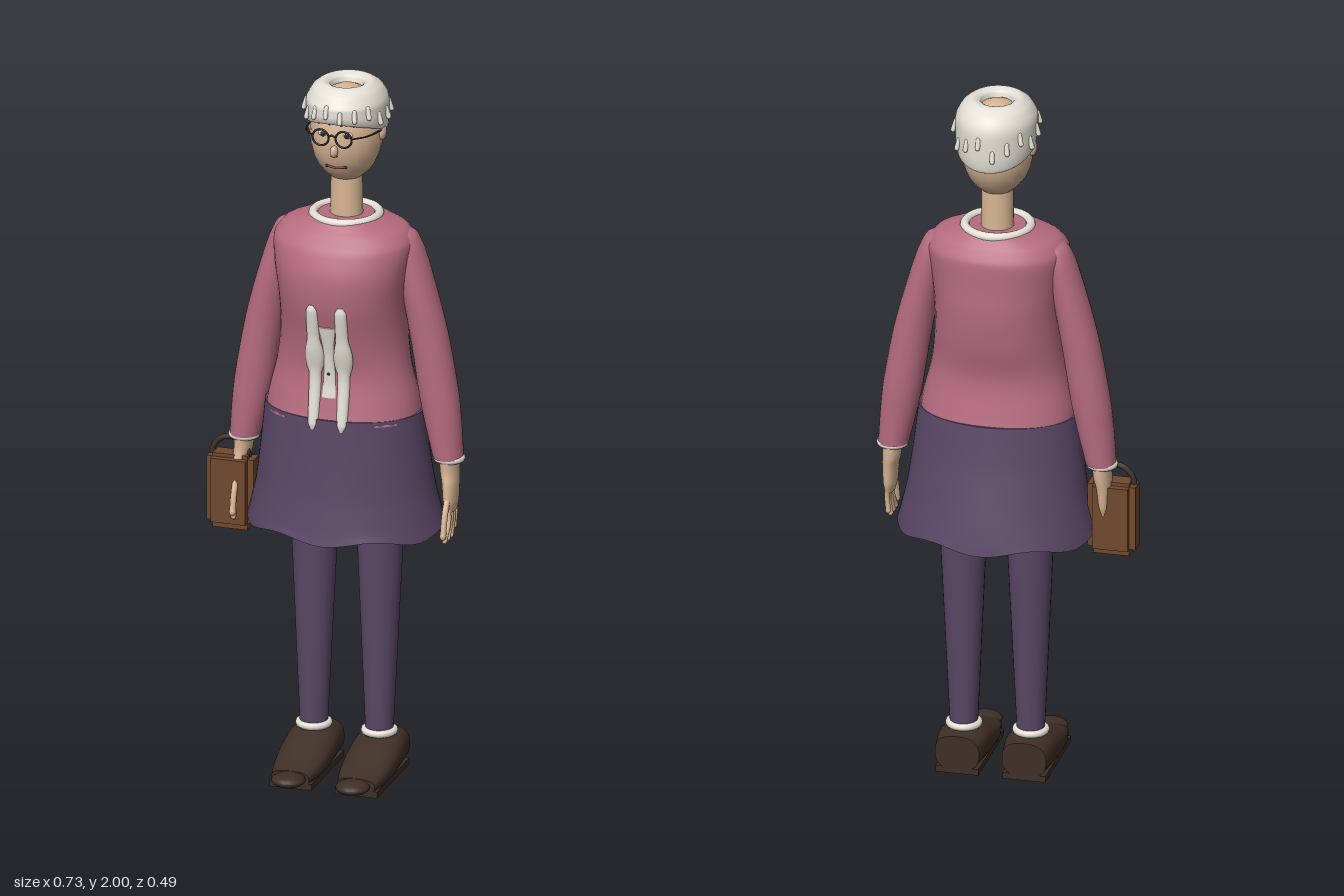
import * as THREE from 'three';

const mat = (name, color, side = THREE.FrontSide) => {
  const m = new THREE.MeshStandardMaterial({ color, side });
  m.name = name;
  return m;
};

// Smooth body through horizontal rings [x, y, z, radiusX, radiusZ], listed from bottom to top
function loft(rings, { seg = 40, steps = 5, power = 2, capBottom = true, capTop = true, warp } = {}) {
  const centres = new THREE.CatmullRomCurve3(rings.map(r => new THREE.Vector3(r[0], r[1], r[2])));
  const radii = new THREE.CatmullRomCurve3(rings.map(r => new THREE.Vector3(r[3], r[4], 0)));
  const n = (rings.length - 1) * steps, pos = [], idx = [];
  const bend = s => Math.sign(s) * Math.abs(s) ** (2 / power);
  for (let i = 0; i <= n; i++) {
    const c = centres.getPoint(i / n), r = radii.getPoint(i / n);
    for (let j = 0; j < seg; j++) {
      const a = j / seg * Math.PI * 2;
      const v = new THREE.Vector3(c.x + bend(Math.sin(a)) * r.x, c.y, c.z + bend(Math.cos(a)) * r.y);
      if (warp) warp(v, a, i / n);
      pos.push(v.x, v.y, v.z);
      if (i < n) {
        const p = i * seg + j, q = i * seg + (j + 1) % seg;
        idx.push(p, q, p + seg, q, q + seg, p + seg);
      }
    }
  }
  const cap = (row, ring, flip) => {
    const start = pos.length / 3;
    for (let j = 0; j < seg; j++) pos.push(...pos.slice((row * seg + j) * 3, (row * seg + j) * 3 + 3));
    pos.push(ring[0], ring[1], ring[2]);
    for (let j = 0; j < seg; j++) {
      const p = start + j, q = start + (j + 1) % seg;
      idx.push(...(flip ? [q, p] : [p, q]), start + seg);
    }
  };
  if (capBottom) cap(0, rings[0], true);
  if (capTop) cap(n, rings.at(-1), false);
  const g = new THREE.BufferGeometry();
  g.setAttribute('position', new THREE.Float32BufferAttribute(pos, 3));
  g.setIndex(idx);
  g.computeVertexNormals();
  return g;
}

const tube = (points, r, n = 16) =>
  new THREE.TubeGeometry(new THREE.CatmullRomCurve3(points.map(p => new THREE.Vector3(...p))), n, r, 8);

export function createModel() {
  const wool = mat('rose wool', 0xb66c80);
  const plum = mat('plum cloth', 0x5a4766, THREE.DoubleSide);
  const skin = mat('skin', 0xd8b594);
  const white = mat('ivory', 0xe4e0d6, THREE.DoubleSide);
  const shoeMat = mat('dark brown leather', 0x3e2f26);
  const bagMat = mat('brown leather', 0x70492e);
  const dark = mat('charcoal', 0x2c2829, THREE.DoubleSide);
  const lip = mat('muted red', 0x8a4a48);

  const model = new THREE.Group();
  model.name = 'woman';
  const body = new THREE.Group();
  body.name = 'body';
  body.position.x = 0.024;
  model.add(body);
  const add = (name, geo, material, x = 0, y = 0, z = 0, parent = body) => {
    const m = new THREE.Mesh(geo, material);
    m.name = name;
    m.position.set(x, y, z);
    parent.add(m);
    return m;
  };
  const ball = (name, material, x, y, z, sx, sy, sz, parent = body) => {
    const m = add(name, new THREE.SphereGeometry(1, 20, 14), material, x, y, z, parent);
    m.scale.set(sx, sy, sz);
    return m;
  };

  // Sweater and skirt
  add('sweater', loft([
    [0, 1.055, -0.01, 0.217, 0.154], [0, 1.1, -0.01, 0.21, 0.144], [0, 1.2, -0.01, 0.186, 0.13],
    [0, 1.3, -0.012, 0.175, 0.148], [0, 1.4, -0.006, 0.177, 0.164], [0, 1.48, -0.004, 0.188, 0.163],
    [0, 1.55, -0.014, 0.196, 0.15], [0, 1.59, -0.02, 0.172, 0.122], [0, 1.618, -0.023, 0.1, 0.097],
  ], { power: 2.2 }), wool);
  add('skirt', loft([
    [0, 0.725, -0.028, 0.276, 0.213], [0, 0.75, -0.028, 0.27, 0.207], [0, 0.84, -0.024, 0.25, 0.189],
    [0, 0.95, -0.016, 0.235, 0.171], [0, 1.07, -0.01, 0.222, 0.157],
  ], {
    seg: 64, capBottom: false,
    warp: (v, a, t) => { v.y -= 0.009 * Math.cos(a * 6) * Math.max(0, 1 - t * 2.5); },
  }), plum);

  // Neck and collar
  add('neck', new THREE.CylinderGeometry(0.043, 0.046, 0.17, 28), skin, 0, 1.665, -0.028);
  add('collar', new THREE.TorusGeometry(0.09, 0.013, 12, 40).rotateX(Math.PI / 2), white, 0, 1.616, -0.024);

  // Head and features
  const head = new THREE.Group();
  head.name = 'head';
  head.position.set(0, 1.852, -0.028);
  body.add(head);
  ball('face', skin, 0, 0, 0, 0.1, 0.138, 0.108, head);
  ball('nose', skin, 0, -0.022, 0.11, 0.011, 0.017, 0.014, head);
  add('mouth', tube([[-0.026, -0.072, 0.091], [0, -0.075, 0.094], [0.026, -0.072, 0.091]], 0.003), lip, 0, 0, 0, head);
  add('glassesBridge', tube([[-0.01, 0.026, 0.126], [0, 0.031, 0.128], [0.01, 0.026, 0.126]], 0.003), dark, 0, 0, 0, head);
  for (const s of [-1, 1]) {
    ball('eyeWhite', white, s * 0.034, 0.024, 0.096, 0.016, 0.009, 0.008, head);
    ball('pupil', dark, s * 0.034, 0.024, 0.103, 0.007, 0.008, 0.004, head);
    add('glassesRim', new THREE.TorusGeometry(0.023, 0.003, 8, 28), dark, s * 0.033, 0.022, 0.126, head);
    add('eyebrow', tube([[s * 0.014, 0.052, 0.1], [s * 0.033, 0.056, 0.097], [s * 0.052, 0.05, 0.09]], 0.003), dark, 0, 0, 0, head);
    add('glassesArm', tube([[s * 0.056, 0.026, 0.126], [s * 0.085, 0.024, 0.09], [s * 0.104, 0.016, 0]], 0.0025), dark, 0, 0, 0, head);
    ball('nostril', dark, s * 0.007, -0.036, 0.109, 0.003, 0.002, 0.003, head);
    ball('mouthCorner', dark, s * 0.027, -0.072, 0.091, 0.004, 0.004, 0.004, head);
    ball('ear', skin, s * 0.1, 0.008, -0.005, 0.012, 0.024, 0.018, head);
  }

  // Hair: an open-crowned cap, low at the back, with small curls around it
  const tilt = v => { v.y += (v.z + 0.035) * 0.34 * THREE.MathUtils.clamp((1.96 - v.y) / 0.09, 0, 1); };
  add('hair', loft([
    [0, 1.875, -0.036, 0.088, 0.098], [0, 1.868, -0.036, 0.106, 0.123], [0, 1.9, -0.036, 0.112, 0.131],
    [0, 1.945, -0.036, 0.112, 0.13], [0, 1.983, -0.034, 0.094, 0.106], [0, 2.0, -0.032, 0.066, 0.072],
    [0, 1.992, -0.031, 0.047, 0.05], [0, 1.972, -0.03, 0.04, 0.043],
  ], { capBottom: false, capTop: false, warp: tilt }), white);
  const curls = 18;
  for (let i = 0; i < curls; i++) {
    const a = (i + 0.5) / curls * Math.PI * 2;
    const v = new THREE.Vector3(Math.sin(a) * 0.114, 1.905 + 0.012 * (i % 3), -0.036 + Math.cos(a) * 0.13);
    tilt(v);
    const curl = add('curl', new THREE.CapsuleGeometry(0.007, 0.026, 4, 10), white, v.x, v.y, v.z);
    curl.rotation.set(-0.3 * Math.cos(a), 0, 0.3 * Math.sin(a));
  }

  // Scarf ends and tie on the chest
  for (const s of [-1, 1]) {
    add('scarfEnd', loft([
      [s * 0.041, 1.04, 0.142, 0.006, 0.006], [s * 0.041, 1.06, 0.138, 0.015, 0.012], [s * 0.041, 1.2, 0.119, 0.018, 0.013],
      [s * 0.041, 1.3, 0.135, 0.018, 0.013], [s * 0.041, 1.385, 0.15, 0.017, 0.012], [s * 0.041, 1.405, 0.152, 0.007, 0.007],
    ], { seg: 16 }), white);
  }
  add('scarfTie', loft([
    [0, 1.13, 0.122, 0.026, 0.008], [0, 1.17, 0.118, 0.019, 0.008], [0, 1.25, 0.124, 0.015, 0.008],
    [0, 1.3, 0.134, 0.019, 0.008], [0, 1.34, 0.143, 0.026, 0.008],
  ], { seg: 16 }), white);
  ball('button', dark, 0, 1.2, 0.13, 0.004, 0.004, 0.004);

  for (const s of [-1, 1]) {
    const side = s > 0 ? 'left' : 'right';

    // Sleeve, cuff and hand
    add(side + 'Sleeve', loft([
      [s * 0.291, 0.94, -0.029, 0.042, 0.047], [s * 0.276, 1.04, -0.03, 0.051, 0.051], [s * 0.262, 1.13, -0.032, 0.055, 0.054],
      [s * 0.235, 1.29, -0.032, 0.053, 0.056], [s * 0.206, 1.42, -0.031, 0.048, 0.058],
      [s * 0.176, 1.53, -0.032, 0.044, 0.056], [s * 0.16, 1.575, -0.033, 0.036, 0.042], [s * 0.145, 1.588, -0.033, 0.018, 0.02],
    ], { seg: 28 }), wool);
    add(side + 'Cuff', new THREE.TorusGeometry(0.034, 0.01, 10, 28).rotateX(Math.PI / 2), white, s * 0.294, 0.937, -0.029);
    add(side + 'Hand', loft([
      [s * 0.303, 0.79, -0.02, 0.013, 0.034], [s * 0.302, 0.82, -0.02, 0.019, 0.043], [s * 0.3, 0.87, -0.024, 0.022, 0.043],
      [s * 0.296, 0.9, -0.029, 0.025, 0.042], [s * 0.294, 0.95, -0.029, 0.027, 0.042],
    ], { seg: 24 }), skin);
    for (let f = 0; f < 4; f++) {
      const z = 0.008 - f * 0.019, lift = f === 3 ? 0.018 : 0;
      add(side + 'Finger', tube([
        [s * 0.303, 0.81, z], [s * 0.306, 0.765 + lift / 2, z + 0.006], [s * 0.303, 0.718 + lift, z + 0.03 - f * 0.008],
      ], 0.0075, 10), skin);
      ball(side + 'Fingertip', skin, s * 0.303, 0.718 + lift, z + 0.03 - f * 0.008, 0.0075, 0.009, 0.0075);
    }
    add(side + 'Thumb', tube([[s * 0.302, 0.835, 0.01], [s * 0.302, 0.79, 0.035], [s * 0.302, 0.735, 0.05]], 0.009, 10), skin);
    ball(side + 'ThumbTip', skin, s * 0.302, 0.735, 0.05, 0.009, 0.012, 0.009);

    // Leg, sock and shoe
    add(side + 'Leg', loft([
      [s * 0.094, 0.12, -0.028, 0.038, 0.041], [s * 0.094, 0.4, -0.031, 0.051, 0.052],
      [s * 0.094, 0.72, -0.035, 0.065, 0.064], [s * 0.094, 0.86, -0.035, 0.068, 0.068],
    ], { seg: 28 }), plum);
    add(side + 'Sock', new THREE.TorusGeometry(0.04, 0.011, 10, 28).rotateX(Math.PI / 2), white, s * 0.094, 0.122, -0.028);
    // The shoe is lofted heel to toe, then laid along z
    add(side + 'Shoe', loft([
      [0, -0.105, -0.06, 0.062, 0.05], [0, -0.03, -0.064, 0.072, 0.054], [0, 0.04, -0.052, 0.073, 0.046],
      [0, 0.11, -0.039, 0.068, 0.033], [0, 0.175, -0.03, 0.054, 0.021],
    ], { seg: 32, power: 2.6 }).rotateX(Math.PI / 2), shoeMat, s * 0.094);
    add(side + 'Sole', new THREE.BoxGeometry(0.12, 0.018, 0.28), shoeMat, s * 0.094, 0.009, 0.035);
    ball(side + 'Toe', shoeMat, s * 0.092, 0.034, 0.198, 0.047, 0.019, 0.046);
  }

  // Handbag with stepped edges, hung from the right hand
  const bag = new THREE.Group();
  bag.name = 'handbag';
  bag.position.set(-0.298, 0.778, -0.012);
  model.add(bag);
  add('bagBody', new THREE.BoxGeometry(0.134, 0.185, 0.046), bagMat, 0, 0.005, 0, bag);
  add('bagPanels', new THREE.BoxGeometry(0.1, 0.185, 0.084), bagMat, 0, 0.005, 0, bag);
  add('bagCore', new THREE.BoxGeometry(0.1, 0.215, 0.046), bagMat, 0, 0, 0, bag);
  add('bagHandle', new THREE.TorusGeometry(0.052, 0.008, 10, 28, Math.PI), shoeMat, -0.006, 0.1, 0, bag);

  return model;
}
